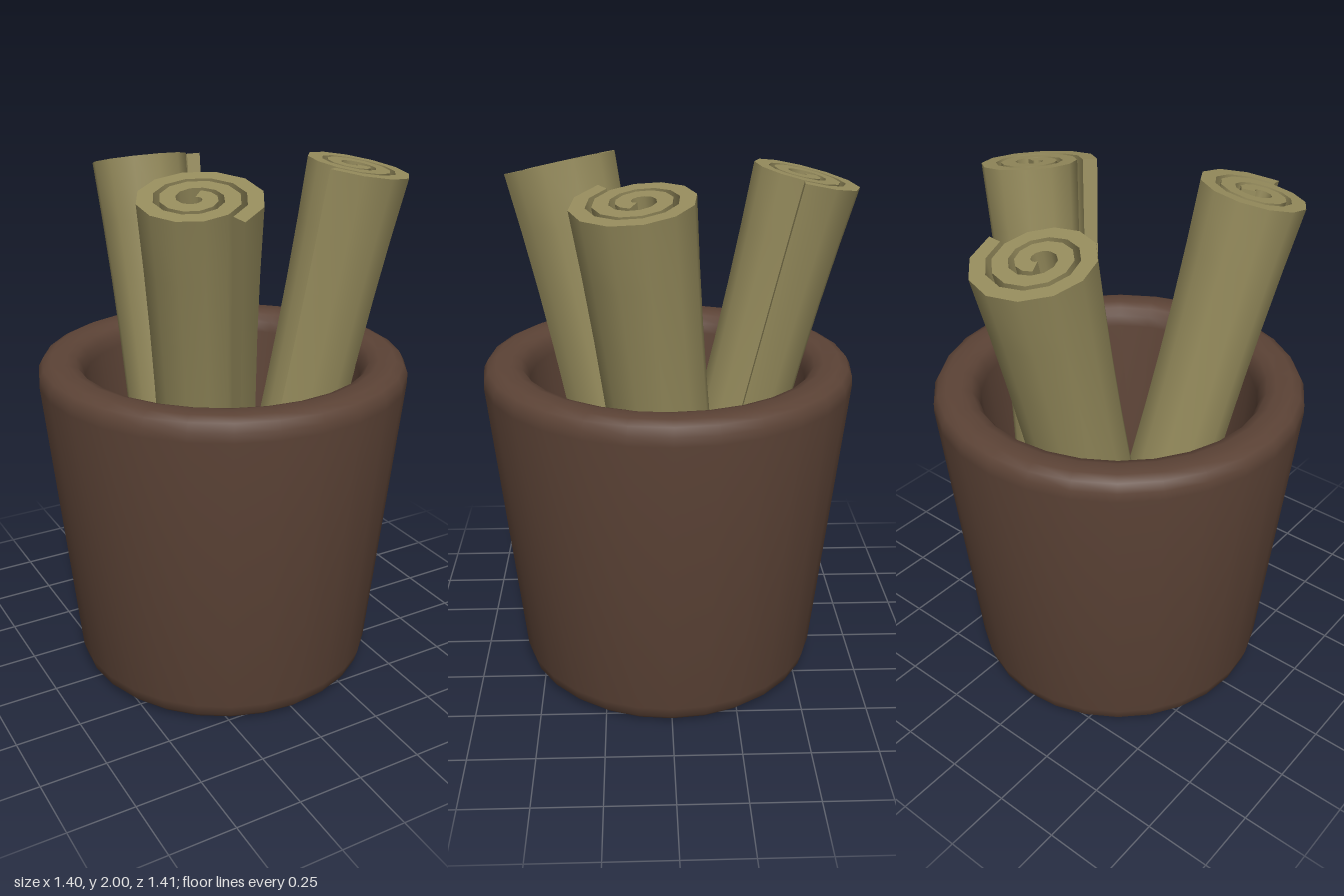
import * as THREE from 'three';
import { toCreasedNormals } from 'three/addons/utils/BufferGeometryUtils.js';

const potMaterial = new THREE.MeshStandardMaterial({ color: 0x5c4336 });
const paperMaterial = new THREE.MeshStandardMaterial({ color: 0x958b5c });

// Tapered pot with a thick rounded rim and a hollow inside
function createPot() {
  const profile = [
    [0, 0], [0.51, 0], [0.55, 0.01], [0.575, 0.035], [0.588, 0.08],
    [0.699, 1.2], [0.698, 1.235], [0.682, 1.265], [0.65, 1.28],
    [0.59, 1.28], [0.556, 1.268], [0.535, 1.24], [0.525, 1.2],
    [0.44, 0.1], [0, 0.1],
  ].map(([r, y]) => new THREE.Vector2(r, y));
  const geometry = toCreasedNormals(new THREE.LatheGeometry(profile, 28), 0.75);
  const pot = new THREE.Mesh(geometry, potMaterial);
  pot.name = 'pot';
  return pot;
}

// Strip of paper rolled up into a spiral, seen end on
function spiralShape(startAngle) {
  const perTurn = 12, turns = 2.4, half = 0.027;
  const outer = [], inner = [];
  for (let i = 0; i <= perTurn * turns; i++) {
    const t = i / perTurn;
    const angle = startAngle + t * Math.PI * 2;
    const r = 0.21 - 0.075 * t;
    const point = (d) => new THREE.Vector2(Math.cos(angle) * (r + d), Math.sin(angle) * (r + d));
    outer.push(point(half));
    inner.push(point(-Math.min(half, r - 0.008)));
  }
  return new THREE.Shape([...outer, ...inner.reverse()]);
}

// Rolled paper between two points, slightly narrower at mid length
function createScroll(name, bottom, top, startAngle) {
  const start = new THREE.Vector3(...bottom);
  const axis = new THREE.Vector3(...top).sub(start);
  const length = axis.length();
  const geometry = new THREE.ExtrudeGeometry(spiralShape(startAngle), {
    depth: length, steps: 8, bevelEnabled: false,
  });
  const pos = geometry.attributes.position;
  for (let i = 0; i < pos.count; i++) {
    const u = (pos.getZ(i) / length) * 2 - 1;
    const s = 1 - 0.13 * (1 - u * u);
    pos.setXY(i, pos.getX(i) * s, pos.getY(i) * s);
  }
  geometry.rotateX(-Math.PI / 2);
  const scroll = new THREE.Mesh(toCreasedNormals(geometry, 0.75), paperMaterial);
  scroll.name = name;
  scroll.position.copy(start);
  scroll.quaternion.setFromUnitVectors(new THREE.Vector3(0, 1, 0), axis.normalize());
  return scroll;
}

export function createModel() {
  const model = new THREE.Group();
  model.name = 'potOfScrolls';
  model.add(
    createPot(),
    createScroll('backScroll', [-0.09, 0.15, -0.08], [-0.08, 1.945, -0.495], -0.1),
    createScroll('rightScroll', [-0.07, 0.15, 0.01], [-0.315, 1.955, 0.385], -1.35),
    createScroll('leftScroll', [0.22, 0.15, -0.08], [0.495, 1.96, 0.107], 3.73),
  );
  return model;
}
